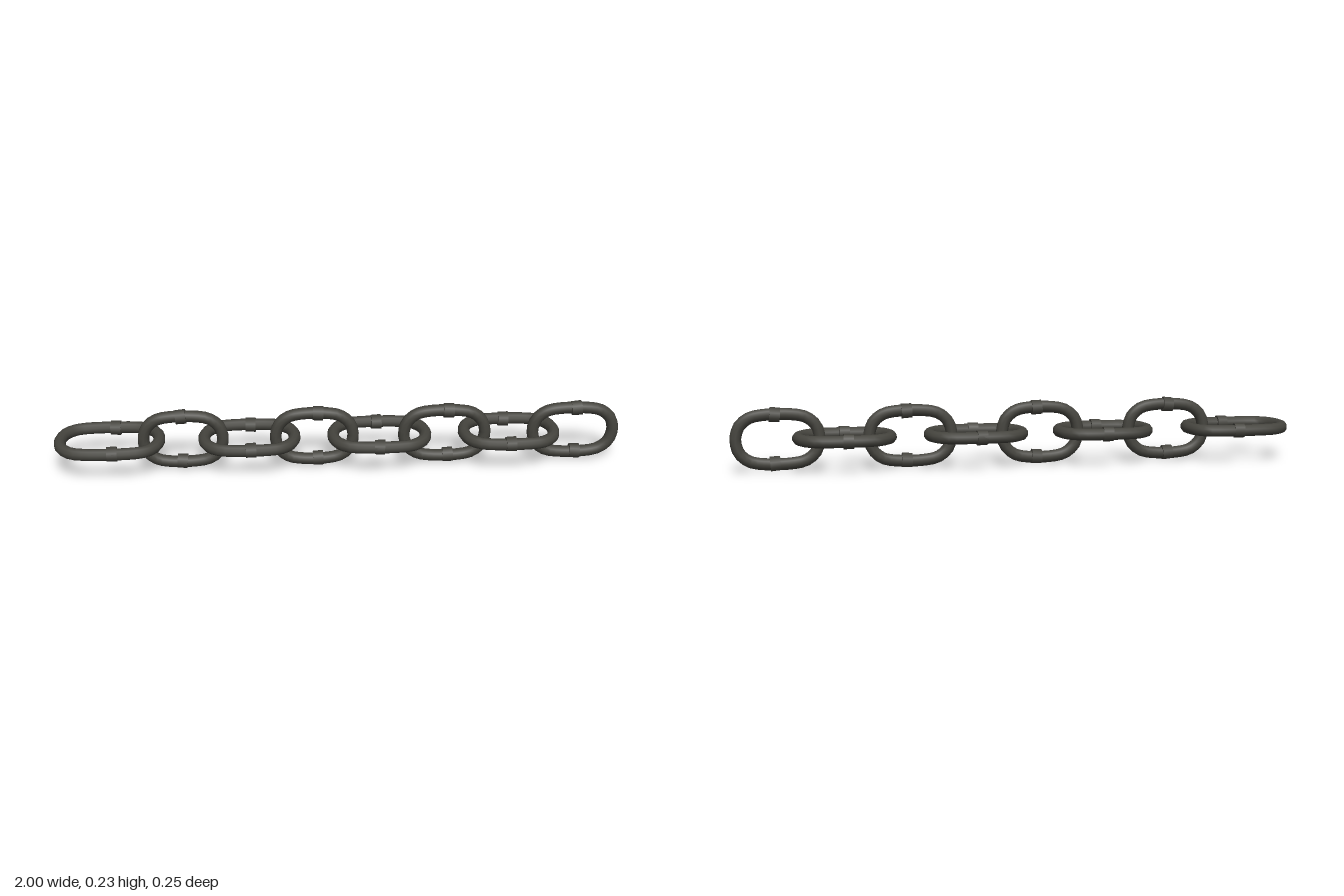
import * as THREE from 'three';

const iron = new THREE.MeshStandardMaterial({ color: 0x45443e });
iron.name = 'dark iron';

// Closed oval centreline: straight runs on the long sides, round ends
function linkCurve(a, h) {
  const rx = 0.09, ry = h * 0.92, pts = [];
  for (let q = 0; q < 4; q++) {
    const sx = q === 0 || q === 3 ? 1 : -1;
    const sy = q < 2 ? 1 : -1;
    for (let i = 0; i <= 3; i++) {
      const t = (q + i / 3) * Math.PI / 2;
      pts.push(new THREE.Vector3(
        sx * (a - rx) + rx * Math.cos(t), sy * (h - ry) + ry * Math.sin(t), 0));
    }
  }
  return new THREE.CatmullRomCurve3(pts, true);
}

// One link in the xy plane, with a weld collar on each long side
function makeLink(a, h, collarX, tilt) {
  const link = new THREE.Group();
  const ring = new THREE.Mesh(new THREE.TubeGeometry(linkCurve(a, h), 36, 0.021, 10, true), iron);
  ring.name = 'ring';
  link.add(ring);
  for (const s of [1, -1]) {
    const collar = new THREE.Mesh(new THREE.CylinderGeometry(0.0255, 0.0265, 0.036, 9), iron);
    collar.name = 'weldCollar';
    collar.position.set(collarX, s * h, 0);
    collar.rotation.z = Math.PI / 2 + s * tilt;
    link.add(collar);
  }
  return link;
}

export function createModel() {
  const chain = new THREE.Group();
  chain.name = 'chain';
  // Start x, end x, half height of centreline, collar x; lying and upright links alternate
  const links = [
    [-1.0, -0.61, 0.101, -0.79],
    [-0.708, -0.387, 0.087, -0.553],
    [-0.495, -0.134, 0.099, -0.31],
    [-0.243, 0.073, 0.088, -0.072],
    [-0.04, 0.33, 0.099, 0.14],
    [0.211, 0.542, 0.087, 0.39],
    [0.425, 0.787, 0.099, 0.6],
    [0.671, 1.0, 0.085, 0.845],
  ];
  links.forEach(([x0, x1, h, cx], i) => {
    const mid = (x0 + x1) / 2;
    const link = makeLink((x1 - x0) / 2 - 0.021, h, cx - mid, i % 3 === 1 ? 0.08 : -0.05);
    const lying = i % 2 === 0;
    link.name = lying ? 'lyingLink' : 'uprightLink';
    link.position.set(mid, 0.116, 0);
    if (lying) link.rotation.x = Math.PI / 2;
    chain.add(link);
  });
  return chain;
}
